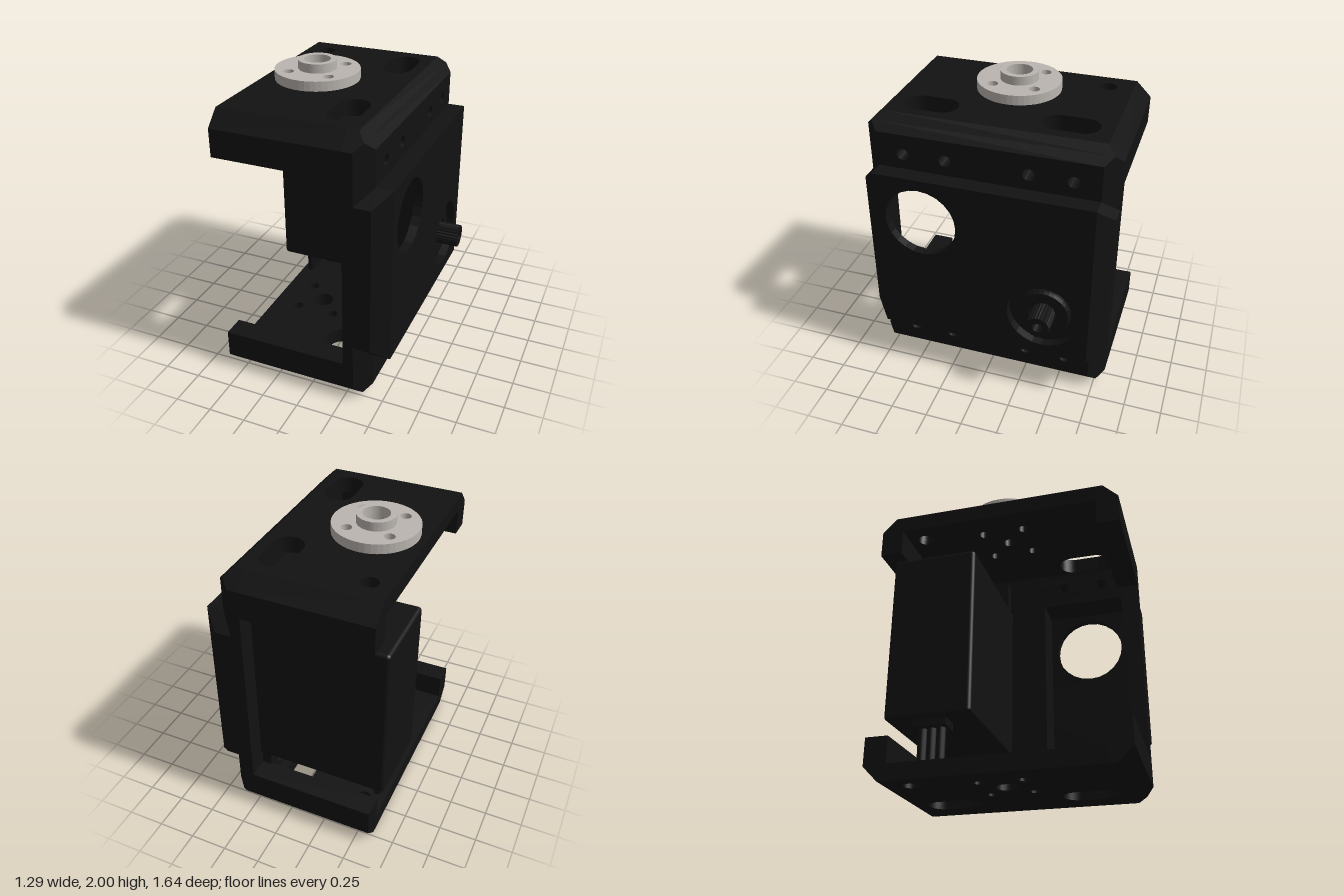
import * as THREE from 'three';
import { RoundedBoxGeometry } from 'three/addons/geometries/RoundedBoxGeometry.js';

const dark = new THREE.MeshStandardMaterial({ color: 0x121212 });
const metal = new THREE.MeshStandardMaterial({ color: 0xbab5b0 });
const H = 1.875, MID = H / 2, PLATE = 0.11, SERVO_Z = -0.41, SERVO_Y = 0.935, SHAFT_Y = 0.655;

// Point loops in (z, y)
const circle = (cz, cy, r, n = 24) => Array.from({ length: n }, (_, i) => {
  const a = (i / n) * Math.PI * 2;
  return [cz + r * Math.cos(a), cy + r * Math.sin(a)];
});
const rect = (cz, cy, hz, hy) => [[cz - hz, cy - hy], [cz + hz, cy - hy], [cz + hz, cy + hy], [cz - hz, cy + hy]];
const octagon = (hz, hy, c) => [
  [hz, -hy + c], [hz, hy - c], [hz - c, hy], [-hz + c, hy],
  [-hz, hy - c], [-hz, -hy + c], [-hz + c, -hy], [hz - c, -hy],
].map(([z, y]) => [z, y + MID]);

// Flat-faced solid along x through sections [x, loop], with holes running the full length
function loft(sections, holes = []) {
  const pos = [];
  const tri = (...pts) => pts.forEach(([x, p]) => pos.push(x, p[1], p[0]));
  const vec = (loop) => loop.map((p) => new THREE.Vector2(p[0], p[1]));
  if (THREE.ShapeUtils.isClockWise(vec(sections[0][1]))) sections = sections.map(([x, l]) => [x, [...l].reverse()]);
  const wall = (x0, l0, x1, l1, inward) => l0.forEach((p, i) => {
    const j = (i + 1) % l0.length;
    const a = [x0, p], b = [x0, l0[j]], c = [x1, l1[j]], d = [x1, l1[i]];
    if (inward) { tri(a, b, c); tri(a, c, d); } else { tri(a, d, c); tri(a, c, b); }
  });
  for (let s = 0; s + 1 < sections.length; s++) wall(...sections[s], ...sections[s + 1], false);
  const first = sections[0], last = sections[sections.length - 1];
  holes.forEach((h) => wall(first[0], h, last[0], h, true));
  [first, last].forEach(([x, loop], end) => {
    // Corners that have shrunk to one point are merged before the cap is filled
    const outline = loop.filter((p, i) => {
      const q = loop[(i + 1) % loop.length];
      return Math.hypot(p[0] - q[0], p[1] - q[1]) > 1e-6;
    });
    const all = [outline, ...holes].flat();
    THREE.ShapeUtils.triangulateShape(vec(outline), holes.map(vec)).forEach(([a, b, c]) => {
      const t = end ? [c, b, a] : [a, b, c];
      tri(...t.map((k) => [x, all[k]]));
    });
  });
  const g = new THREE.BufferGeometry();
  g.setAttribute('position', new THREE.Float32BufferAttribute(pos, 3));
  g.computeVertexNormals();
  return g;
}

// Plate drawn in (x, z) with its top at yTop
function plate(shape, yTop, depth) {
  return new THREE.ExtrudeGeometry(shape, { depth, bevelEnabled: false, curveSegments: 24 })
    .rotateX(Math.PI / 2).translate(0, yTop, 0);
}
const hole = (x, z, r) => new THREE.Path().absarc(x, z, r, 0, Math.PI * 2, true);
const slot = (x, z, r, half) => {
  const p = new THREE.Path();
  p.absarc(x, z + half - r, r, 0, Math.PI, false);
  p.absarc(x, z - half + r, r, Math.PI, Math.PI * 2, false);
  p.closePath();
  return p;
};
const boltPattern = () => [-1, 1].flatMap((i) => [-1, 1].map((j) => hole(-0.27 + 0.14 * i, 0.14 * j, 0.036)));

export function createModel() {
  const model = new THREE.Group();
  const add = (parent, name, geometry, material = dark) => {
    const m = new THREE.Mesh(geometry, material);
    m.name = name;
    parent.add(m);
    return m;
  };
  const group = (name) => {
    const g = new THREE.Group();
    g.name = name;
    model.add(g);
    return g;
  };

  // Bracket: top and bottom plates with slots and edge lips
  const bracket = group('bracket');
  const makePlate = (name, yTop, slotX, bore) => {
    const s = new THREE.Shape([[-0.6, -0.67], [0.25, -0.67], [0.25, 0.67], [-0.6, 0.67]].map((p) => new THREE.Vector2(...p)));
    s.holes.push(slot(slotX, -0.455, 0.1, 0.18), slot(slotX, 0.455, 0.1, 0.18),
      hole(-0.455, -0.555, 0.055), hole(-0.27, 0, bore), ...boltPattern());
    add(bracket, name, plate(s, yTop, PLATE));
  };
  makePlate('topPlate', H, 0.145, 0.042);
  makePlate('bottomPlate', PLATE, 0.048, 0.075);
  const lip = [[0.67, 1.59], [0.82, 1.59], [0.82, H - 0.1], [0.72, H], [0.67, H]];
  for (const side of [-1, 1]) for (const top of [true, false]) {
    const loop = lip.map(([z, y]) => [z * side, top ? y : H - y]);
    add(bracket, top ? 'topLip' : 'bottomLip', loft([[-0.6, loop], [0.25, loop]]));
  }

  // Side wall with two servo pockets and their screw holes
  const pockets = [-1, 1].map((s) => rect(0.41 * s, SERVO_Y, 0.285, 0.57));
  const screws = (zs) => zs.flatMap((z) => [0.235, 1.64].map((y) => circle(z, y, 0.04, 16)));
  add(bracket, 'sideWall', loft([
    [0.25, octagon(0.82, MID, 0.1)], [0.32, octagon(0.82, MID, 0.1)],
    [0.37, octagon(0.77, MID - 0.05, 0)], [0.42, octagon(0.72, MID - 0.1, 0)],
  ], [...pockets, ...screws([-0.55, -0.27, 0.27, 0.55])]));

  // Raised outer panel over the pockets, with round openings
  const rise = (x) => {
    const inset = Math.max(0, x - 0.435);
    return [x, octagon(0.82 - inset, 0.6, 0.1 - inset)];
  };
  add(bracket, 'raisedPanelRim', loft([rise(0.32), rise(0.435), rise(0.475)], pockets));
  add(bracket, 'raisedPanelFace', loft([rise(0.475), rise(0.535)],
    [circle(0.41, 1.225, 0.24), circle(SERVO_Z, SHAFT_Y, 0.24)]));

  // Servo
  const servo = group('servo');
  add(servo, 'servoBody', new RoundedBoxGeometry(1.11, 1.13, 0.56, 3, 0.025)).position.set(-0.09, SERVO_Y, SERVO_Z);
  const ears = rect(SERVO_Z, SERVO_Y, 0.27, 0.77);
  add(servo, 'mountingEars', loft([[0.185, ears], [0.25, ears]], screws([-0.55, -0.27])));
  const turned = (name, profile, segments = 32) => {
    const g = new THREE.LatheGeometry(profile.map((p) => new THREE.Vector2(...p)), segments).toNonIndexed();
    g.computeVertexNormals();
    add(servo, name, g.rotateZ(-Math.PI / 2)).position.set(0, SHAFT_Y, SERVO_Z);
  };
  turned('shaftCollar', [[0.18, 0.44], [0.18, 0.485], [0.165, 0.5], [0.1, 0.5], [0.1, 0.485], [0, 0.485]]);

  // Splined output shaft with a screw bore
  const spline = Array.from({ length: 48 }, (_, i) => {
    const a = (i / 48) * Math.PI * 2, r = i % 2 ? 0.074 : 0.08;
    return [SERVO_Z + r * Math.cos(a), SHAFT_Y + r * Math.sin(a)];
  });
  add(servo, 'splinedShaft', loft([[0.45, spline], [0.643, spline]], [circle(SERVO_Z, SHAFT_Y, 0.035, 20)]));
  turned('shaftBoreFloor', [[0.036, 0.55], [0, 0.55]], 20);

  // Cable outlet and wires
  add(servo, 'cableOutlet', new THREE.BoxGeometry(0.135, 0.06, 0.22)).position.set(-0.532, 0.355, SERVO_Z);
  for (const i of [-1, 0, 1]) {
    add(servo, 'wire', new THREE.CylinderGeometry(0.03, 0.03, 0.22, 12)).position.set(-0.53, 0.23, SERVO_Z + 0.06 * i);
  }

  // Round mounting flange with hub
  const flange = group('mountingFlange');
  const disc = new THREE.Shape().absarc(-0.27, 0, 0.28, 0, Math.PI * 2);
  disc.holes.push(hole(-0.27, 0, 0.087), ...boltPattern());
  add(flange, 'flangeDisc', plate(disc, 1.94, 1.94 - H), metal);
  const hub = new THREE.Shape().absarc(-0.27, 0, 0.126, 0, Math.PI * 2);
  hub.holes.push(hole(-0.27, 0, 0.087));
  add(flange, 'flangeHub', plate(hub, 2, 0.06), metal);

  return model;
}
